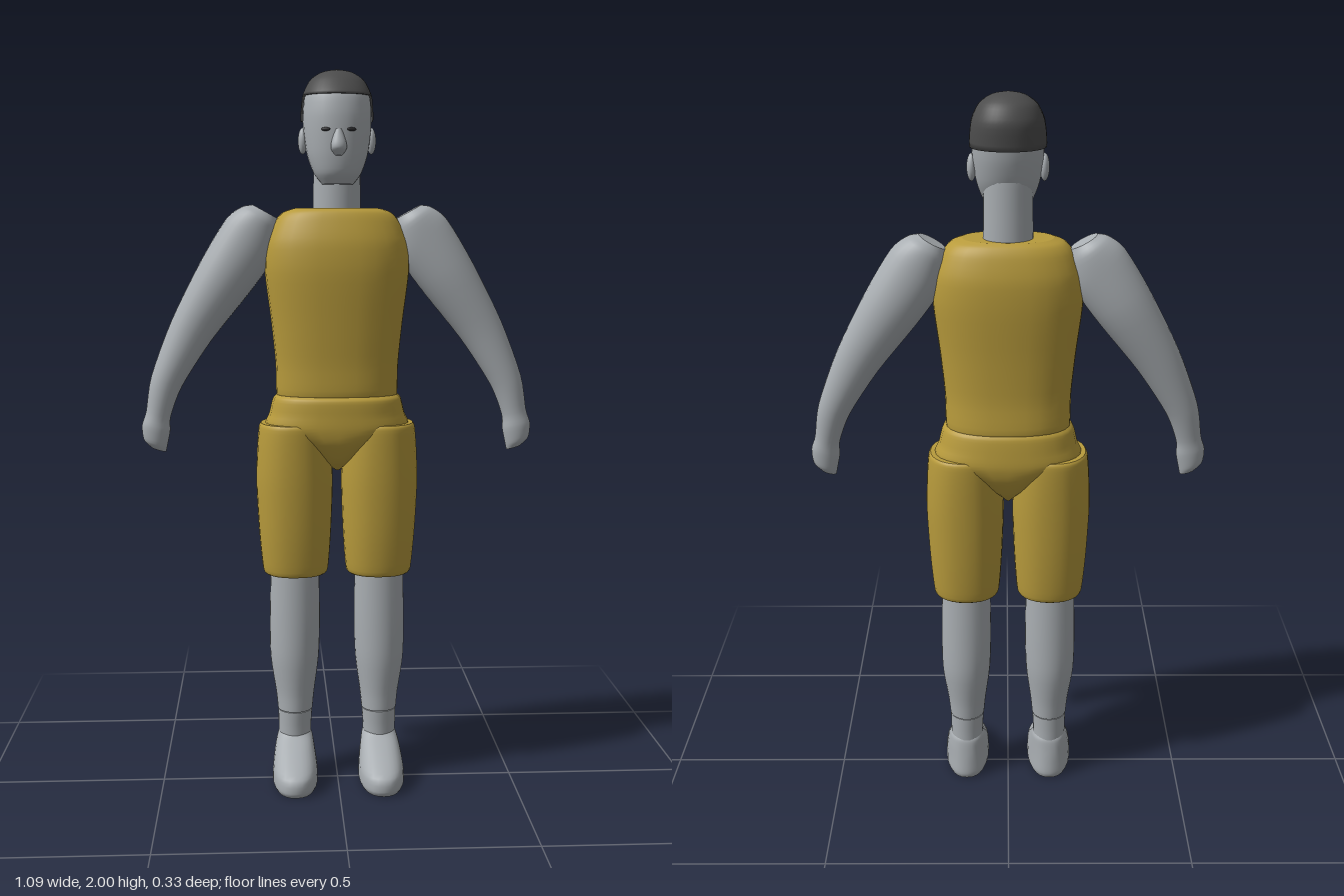
import * as THREE from 'three';

const skin = new THREE.MeshStandardMaterial({ color: 0xa9aeb2 });
skin.name = 'skin';
const cloth = new THREE.MeshStandardMaterial({ color: 0xb89b3c });
cloth.name = 'cloth';
const hairDark = new THREE.MeshStandardMaterial({ color: 0x4c4c4c });
hairDark.name = 'hair';
const eyeDark = new THREE.MeshStandardMaterial({ color: 0x2c2c2e });
eyeDark.name = 'eye';

// Surface through elliptical sections [x, y, zFront, zBack, halfWidth, tilt], listed bottom to top.
function makeSurface(sections, power = 2) {
  const centre = new THREE.CatmullRomCurve3(
    sections.map(([x, y, f, b]) => new THREE.Vector3(x, y, (f + b) / 2)), false, 'catmullrom', 0.4);
  const size = new THREE.CatmullRomCurve3(
    sections.map(([, , f, b, w, t = 0]) => new THREE.Vector3(w, t, (f - b) / 2)), false, 'catmullrom', 0.4);
  const round = (v) => Math.sign(v) * Math.pow(Math.abs(v), 2 / power);
  return (a, u, grow = 0) => {
    const c = centre.getPoint(u), s = size.getPoint(u);
    const w = round(Math.cos(a)) * (Math.max(s.x, 0) + grow);
    const d = round(Math.sin(a)) * (Math.max(s.z, 0) + grow);
    return [c.x + w * Math.cos(s.y), c.y + w * Math.sin(s.y), c.z + d];
  };
}

// Closed skin over point(angle, t), with flat caps at both ends.
function skinOver(point, rings, sides = 28) {
  const pos = [], idx = [];
  const angle = (i) => (i / sides) * Math.PI * 2;
  for (let j = 0; j <= rings; j++)
    for (let i = 0; i < sides; i++) pos.push(...point(angle(i), j / rings));
  for (let j = 0; j < rings; j++)
    for (let i = 0; i < sides; i++) {
      const k = (i + 1) % sides, p = j * sides, q = p + sides;
      idx.push(p + i, q + i, p + k, p + k, q + i, q + k);
    }
  for (const t of [0, 1]) {
    const base = pos.length / 3, mid = [0, 0, 0];
    for (let i = 0; i < sides; i++) {
      const p = point(angle(i), t);
      pos.push(...p);
      p.forEach((v, n) => { mid[n] += v / sides; });
    }
    pos.push(...mid);
    for (let i = 0; i < sides; i++) {
      const k = (i + 1) % sides;
      if (t) idx.push(base + sides, base + k, base + i);
      else idx.push(base + sides, base + i, base + k);
    }
  }
  const g = new THREE.BufferGeometry();
  g.setAttribute('position', new THREE.Float32BufferAttribute(pos, 3));
  g.setIndex(idx);
  g.computeVertexNormals();
  return g;
}

function addPart(group, name, geometry, material) {
  const mesh = new THREE.Mesh(geometry, material);
  mesh.name = name;
  group.add(mesh);
  return mesh;
}

function loft(group, name, sections, material, power = 2) {
  return addPart(group, name, skinOver(makeSurface(sections, power), (sections.length - 1) * 4), material);
}

function ellipsoid(group, name, material, position, scale) {
  const mesh = addPart(group, name, new THREE.SphereGeometry(1, 16, 12), material);
  mesh.position.set(...position);
  mesh.scale.set(...scale);
  return mesh;
}

const torso = [
  [0, 1.10, 0.055, -0.135, 0.16], [0, 1.115, 0.07, -0.148, 0.17], [0, 1.2, 0.072, -0.142, 0.172],
  [0, 1.32, 0.08, -0.145, 0.184], [0, 1.45, 0.088, -0.152, 0.2], [0, 1.53, 0.083, -0.15, 0.196],
  [0, 1.59, 0.066, -0.135, 0.172], [0, 1.615, 0.055, -0.122, 0.15], [0, 1.626, 0.042, -0.108, 0.12]];

const pelvis = [
  [0, 0.9, 0.0, -0.09, 0.01], [0, 0.93, 0.045, -0.125, 0.045], [0, 0.98, 0.078, -0.155, 0.12],
  [0, 1.02, 0.085, -0.163, 0.2], [0, 1.06, 0.084, -0.16, 0.19], [0, 1.1, 0.082, -0.154, 0.18],
  [0, 1.112, 0.07, -0.145, 0.17]];

const head = [
  [0, 1.69, 0.038, -0.02, 0.042], [0, 1.72, 0.058, -0.062, 0.065], [0, 1.77, 0.066, -0.095, 0.083],
  [0, 1.83, 0.068, -0.115, 0.092], [0, 1.88, 0.066, -0.123, 0.094], [0, 1.93, 0.055, -0.127, 0.089],
  [0, 1.97, 0.025, -0.108, 0.071], [0, 1.992, -0.003, -0.078, 0.04], [0, 2.0, -0.038, -0.042, 0.002]];

// Sections of the limbs on side s (+1 left, -1 right).
const arm = (s) => [
  [0.5, 0.96, 0.0, -0.036, 0.022, 0.3], [0.508, 0.98, 0.012, -0.046, 0.034, 0.25],
  [0.506, 1.02, 0.016, -0.052, 0.04, 0.22], [0.499, 1.06, 0.013, -0.055, 0.035, 0.22],
  [0.475, 1.15, 0.015, -0.07, 0.045, 0.3], [0.405, 1.29, 0.016, -0.09, 0.062, 0.45],
  [0.312, 1.435, 0.025, -0.108, 0.08, 0.55], [0.243, 1.54, 0.022, -0.104, 0.085, 0.72],
  [0.212, 1.595, 0.016, -0.096, 0.062, 0.6], [0.198, 1.617, -0.003, -0.077, 0.04, 0.5]]
  .map(([x, y, f, b, w, t]) => [s * x, y, f, b, w, s * t]);

const thigh = (s) => [
  [s * 0.118, 0.6, 0.044, -0.122, 0.084], [s * 0.118, 0.615, 0.052, -0.132, 0.093],
  [s * 0.119, 0.72, 0.064, -0.142, 0.102], [s * 0.12, 0.86, 0.073, -0.15, 0.108],
  [s * 0.12, 0.96, 0.076, -0.154, 0.105], [s * 0.12, 1.02, 0.076, -0.154, 0.1],
  [s * 0.12, 1.032, 0.07, -0.148, 0.094]];

const shin = (s) => [
  [s * 0.121, 0.2, 0.021, -0.093, 0.05], [s * 0.121, 0.25, 0.023, -0.098, 0.055],
  [s * 0.122, 0.35, 0.031, -0.11, 0.069], [s * 0.121, 0.46, 0.03, -0.108, 0.072],
  [s * 0.12, 0.62, 0.024, -0.1, 0.069]];

const ankle = (s) => [
  [s * 0.122, 0.1, 0.012, -0.088, 0.046], [s * 0.122, 0.15, 0.014, -0.089, 0.047],
  [s * 0.121, 0.197, 0.018, -0.091, 0.049]];

const foot = (s) => [
  [s * 0.123, 0, 0.16, -0.095, 0.058], [s * 0.123, 0.015, 0.168, -0.1, 0.064],
  [s * 0.123, 0.05, 0.16, -0.098, 0.063], [s * 0.123, 0.09, 0.085, -0.094, 0.057],
  [s * 0.122, 0.12, 0.025, -0.09, 0.05], [s * 0.122, 0.133, 0.005, -0.083, 0.044]];

export function createModel() {
  const model = new THREE.Group();
  model.name = 'figure';

  loft(model, 'torso', torso, cloth, 2.35);
  loft(model, 'pelvis', pelvis, cloth, 2.35);

  // Head, neck and face
  loft(model, 'neck', [[0, 1.6, 0.022, -0.1, 0.066], [0, 1.7, 0.022, -0.1, 0.065],
    [0, 1.78, 0.02, -0.1, 0.064]], skin);
  loft(model, 'head', head.slice(0, 7), skin, 2.1);
  loft(model, 'nose', [[0, 1.765, 0.07, 0.05, 0.01], [0, 1.782, 0.087, 0.05, 0.021],
    [0, 1.8, 0.086, 0.05, 0.02], [0, 1.835, 0.071, 0.05, 0.009]], skin);

  // Hair cap with a high front edge, stepping down behind the temples
  const scalp = makeSurface(head, 2.1);
  const last = head.length - 1;
  const hair = skinOver((a, t) => {
    const front = THREE.MathUtils.smoothstep(Math.sin(a), -0.05, 0.2);
    const start = THREE.MathUtils.lerp(3.6, 4.95, front) / last;
    const k = Math.max(0, (t * 17 - 1) / 16);
    return scalp(a, start + (1 - start) * k, t === 0 ? -0.004 : 0.006 * (1 - k));
  }, 17, 40);
  addPart(model, 'hair', hair, hairDark);

  for (const s of [1, -1]) {
    const side = s > 0 ? 'left' : 'right';
    ellipsoid(model, side + 'Ear', skin, [s * 0.094, 1.808, -0.03], [0.013, 0.036, 0.02]);
    ellipsoid(model, side + 'Eye', eyeDark, [s * 0.035, 1.834, 0.0625], [0.013, 0.005, 0.004])
      .rotation.y = s * 0.3;
    loft(model, side + 'Arm', arm(s), skin);
    loft(model, side + 'ShortsLeg', thigh(s), cloth, 2.2);
    loft(model, side + 'LowerLeg', shin(s), skin);
    loft(model, side + 'Ankle', ankle(s), skin);
    loft(model, side + 'Foot', foot(s), skin, 2.3);
  }
  return model;
}
